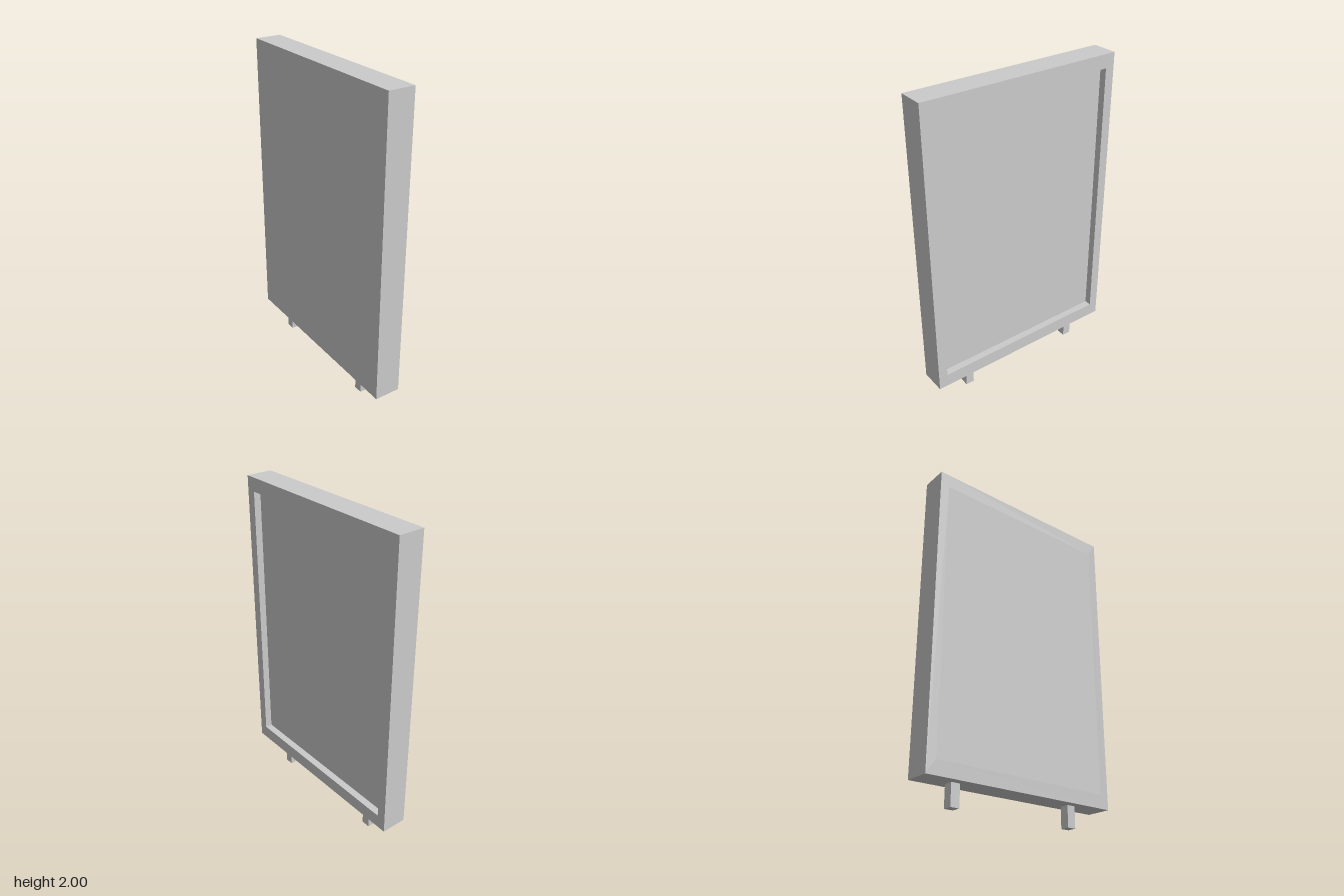
import * as THREE from 'three';

const W = 1.29, TOP = 2, BOTTOM = 0.13, T = 0.164;   // board width, heights, thickness
const IN_W = 1.172, IN_TOP = 1.915, IN_BOTTOM = 0.215, RECESS = 0.045;

// Rectangle traced counter-clockwise, centred on x = 0
function rect(Type, w, y0, y1) {
  const r = new Type();
  r.moveTo(-w / 2, y0);
  r.lineTo(w / 2, y0);
  r.lineTo(w / 2, y1);
  r.lineTo(-w / 2, y1);
  r.closePath();
  return r;
}

export function createModel() {
  const group = new THREE.Group();
  const material = new THREE.MeshStandardMaterial({ color: 0xcccccc, flatShading: true });

  const add = (name, geometry) => {
    const mesh = new THREE.Mesh(geometry, material);
    mesh.name = name;
    group.add(mesh);
    return mesh;
  };

  // Slab of the given outline, standing in the yz plane from x0 to x1
  const slab = (name, shape, x0, x1) => {
    const geometry = new THREE.ExtrudeGeometry(shape, { depth: x1 - x0, bevelEnabled: false });
    geometry.rotateY(Math.PI / 2).translate(x0, 0, 0);
    return add(name, geometry);
  };

  // Full-depth frame, open in the middle
  const outline = rect(THREE.Shape, W, BOTTOM, TOP);
  outline.holes.push(rect(THREE.Path, IN_W, IN_BOTTOM, IN_TOP));
  slab('frame', outline, -T / 2, T / 2);

  // Display panel: flush with the back, set back from the +x face
  slab('panel', rect(THREE.Shape, IN_W, IN_BOTTOM, IN_TOP), -T / 2, T / 2 - RECESS);

  // Two short square feet
  for (const [name, z] of [['frontFoot', 0.391], ['rearFoot', -0.425]]) {
    add(name, new THREE.BoxGeometry(0.058, BOTTOM, 0.056)).position.set(0, BOTTOM / 2, z);
  }

  return group;
}
